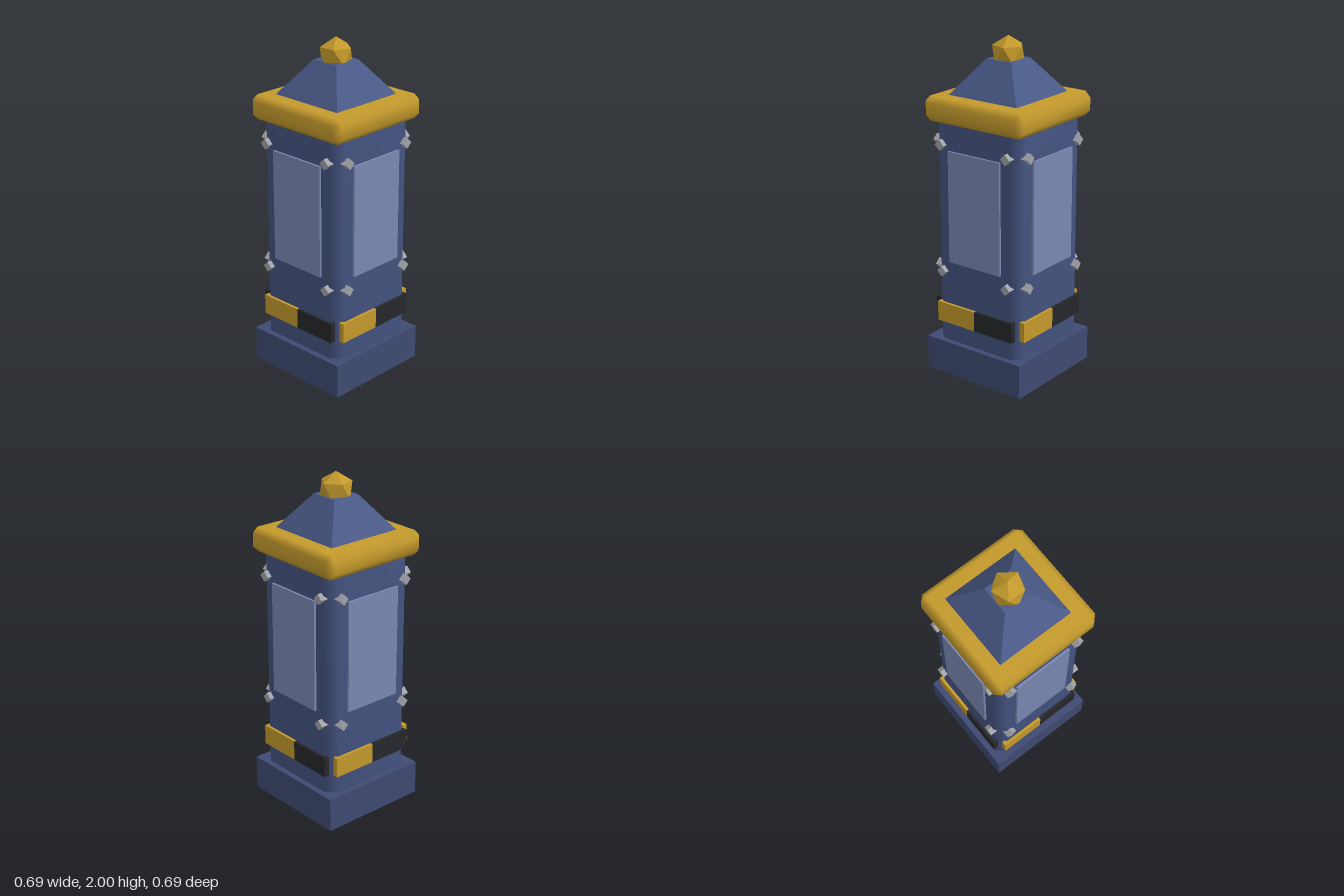
import * as THREE from 'three';
import { mergeVertices } from 'three/addons/utils/BufferGeometryUtils.js';
import { ConvexGeometry } from 'three/addons/geometries/ConvexGeometry.js';

const mat = (color, flatShading = false) => new THREE.MeshStandardMaterial({ color, flatShading });
const blue = mat(0x445380);
const baseBlue = mat(0x3f4a72);
const roofBlue = mat(0x4a5a88, true);
const panelBlue = mat(0x7a88b2);
const gold = mat(0xc49a2c);
const goldFlat = mat(0xc49a2c, true);
const black = mat(0x26272b);
const grey = mat(0xa0a3aa);

function part(parent, name, geometry, material, x = 0, y = 0, z = 0) {
  const mesh = new THREE.Mesh(geometry, material);
  mesh.name = name;
  mesh.position.set(x, y, z);
  parent.add(mesh);
  return mesh;
}

// Box with every edge cut by a single chamfer, softly shaded
function chamferBox(w, h, d, c) {
  const points = [];
  for (const sx of [-1, 1]) for (const sy of [-1, 1]) for (const sz of [-1, 1]) {
    for (let axis = 0; axis < 3; axis++) {
      const cut = [c, c, c];
      cut[axis] = 0;
      points.push(new THREE.Vector3(sx * (w / 2 - cut[0]), sy * (h / 2 - cut[1]), sz * (d / 2 - cut[2])));
    }
  }
  const geometry = new ConvexGeometry(points);
  geometry.deleteAttribute('normal');
  const merged = mergeVertices(geometry, 1e-4);
  merged.computeVertexNormals();
  return merged;
}

export function createModel() {
  const model = new THREE.Group();
  model.name = 'pillar';

  // Plinth, shaft and cornice
  part(model, 'base', new THREE.BoxGeometry(0.68, 0.205, 0.68), baseBlue, 0, 0.1025, 0);
  part(model, 'shaft', chamferBox(0.61, 1.48, 0.61, 0.06), blue, 0, 0.86, 0);
  part(model, 'cornice', chamferBox(0.69, 0.145, 0.69, 0.035), gold, 0, 1.5975, 0);

  // Four-sided roof, turned so its sides face the axes
  const roof = new THREE.CylinderGeometry(0.087 * Math.SQRT2, 0.237 * Math.SQRT2, 0.2, 4);
  roof.rotateY(Math.PI / 4);
  part(model, 'roof', roof, roofBlue, 0, 1.77, 0);

  // Faceted knob standing on one point
  const knob = new THREE.IcosahedronGeometry(0.1015, 0);
  knob.rotateZ(-Math.atan(2 / (1 + Math.sqrt(5))));
  part(model, 'knob', knob, goldFlat, 0, 1.8985, 0);

  // The same fittings on each of the four sides
  const panelGeometry = new THREE.BoxGeometry(0.366, 0.665, 0.04);
  const bandGeometry = new THREE.BoxGeometry(0.272, 0.12, 0.032);
  const studGeometry = new THREE.BoxGeometry(0.045, 0.045, 0.05).rotateZ(Math.PI / 4);
  for (let i = 0; i < 4; i++) {
    const side = new THREE.Group();
    side.name = 'side' + (i + 1);
    side.rotation.y = i * Math.PI / 2;
    part(side, 'panel', panelGeometry, panelBlue, 0, 1.0375, 0.298);
    part(side, 'goldBand', bandGeometry, gold, -0.136, 0.38, 0.306);
    part(side, 'blackBand', bandGeometry, black, 0.136, 0.38, 0.306);
    for (const x of [-0.232, 0.232]) for (const y of [0.64, 1.4]) {
      part(side, 'stud', studGeometry, grey, x, y, 0.309);
    }
    model.add(side);
  }
  return model;
}
